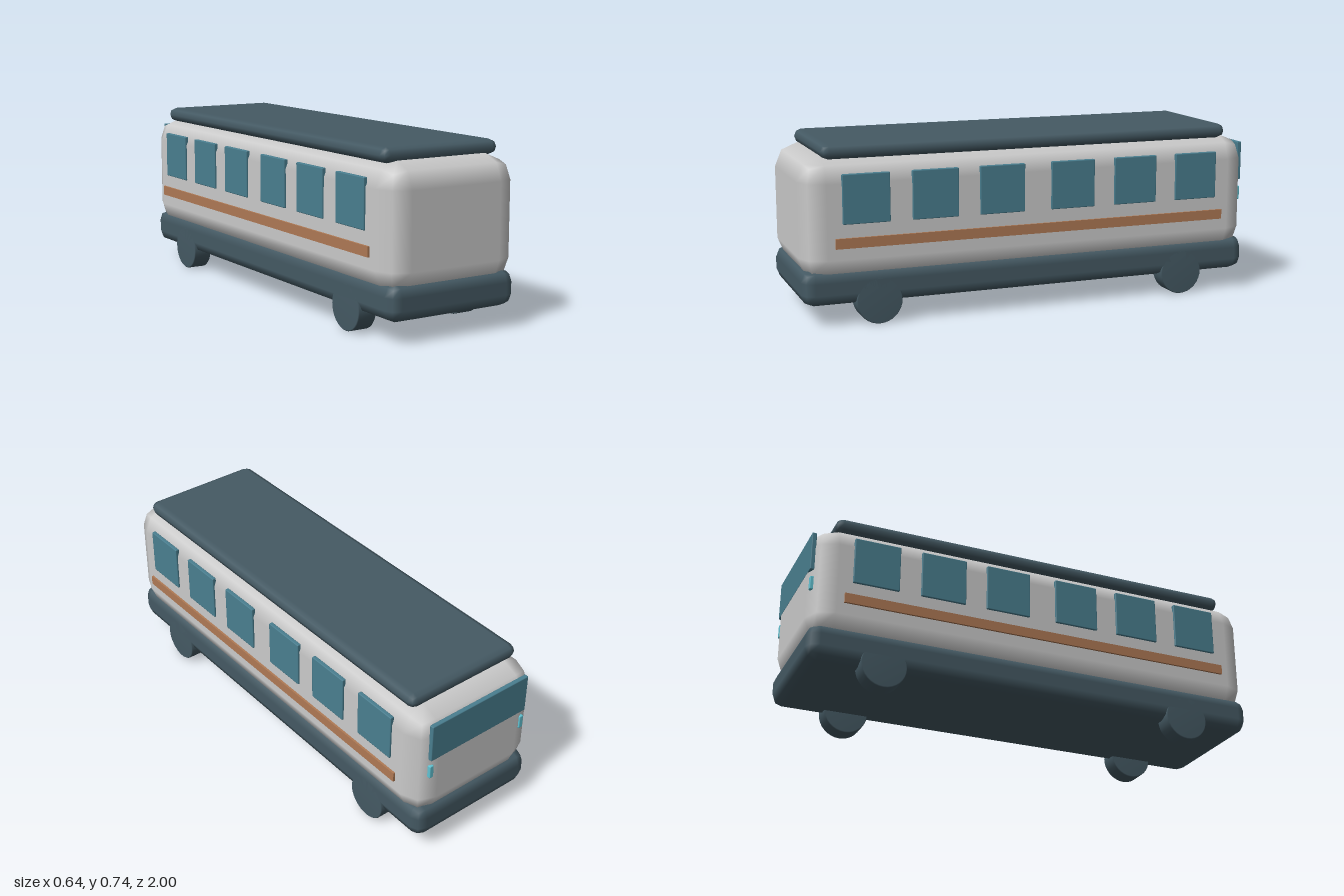
import * as THREE from 'three';
import { RoundedBoxGeometry } from 'three/addons/geometries/RoundedBoxGeometry.js';

const paint = (color) => new THREE.MeshStandardMaterial({ color });

export function createModel() {
  const bus = new THREE.Group();
  bus.name = 'bus';
  const shell = paint(0xcccccc);
  const dark = paint(0x455a64);
  const glass = paint(0x4a7f90);
  const copper = paint(0xb07a55);
  const lamp = paint(0x62c4d4);

  const add = (name, geometry, material, x, y, z) => {
    const mesh = new THREE.Mesh(geometry, material);
    mesh.name = name;
    mesh.position.set(x, y, z);
    bus.add(mesh);
    return mesh;
  };
  // Box with a single soft bevel step on every edge
  const soft = (w, h, d, r) => new RoundedBoxGeometry(w, h, d, 1, r);

  // Cabin, lower skirt and roof slab
  add('body', soft(0.62, 0.51, 1.998, 0.1), shell, 0, 0.435, 0);
  add('chassis', soft(0.6, 0.15, 2, 0.05), dark, 0, 0.161, 0);
  add('roof', soft(0.55, 0.062, 1.812, 0.031), dark, 0, 0.711, 0);

  // Rear window, standing proud of the rounded upper edge
  add('rearWindow', soft(0.5, 0.17, 0.02, 0.004), glass, 0, 0.57, -0.99);

  // Wheel: cylinder with a slight bevel, axle along x
  const wheelProfile = [[0, -0.042], [0.092, -0.042], [0.096, -0.038],
    [0.096, 0.038], [0.092, 0.042], [0, 0.042]].map(([r, y]) => new THREE.Vector2(r, y));
  const wheel = new THREE.LatheGeometry(wheelProfile, 32).rotateZ(Math.PI / 2);

  const pane = soft(0.018, 0.203, 0.197, 0.004);
  const strip = new THREE.BoxGeometry(0.009, 0.042, 1.736);
  const rearLamp = soft(0.02, 0.06, 0.02, 0.004);

  for (const [side, s] of [['left', 1], ['right', -1]]) {
    // Six side windows in two groups of three
    for (const end of [1, -1]) {
      for (let i = 0; i < 3; i++) {
        add(side + 'Window', pane, glass, s * 0.309, 0.5265, end * (0.158 + 0.29 * i));
      }
    }
    add(side + 'Stripe', strip, copper, s * 0.3165, 0.349, 0);
    add(side + 'RearLamp', rearLamp, lamp, s * 0.24, 0.425, -0.987);
    add(side + 'FrontWheel', wheel, dark, s * 0.258, 0.096, 0.686);
    add(side + 'RearWheel', wheel, dark, s * 0.258, 0.096, -0.686);
  }
  return bus;
}
